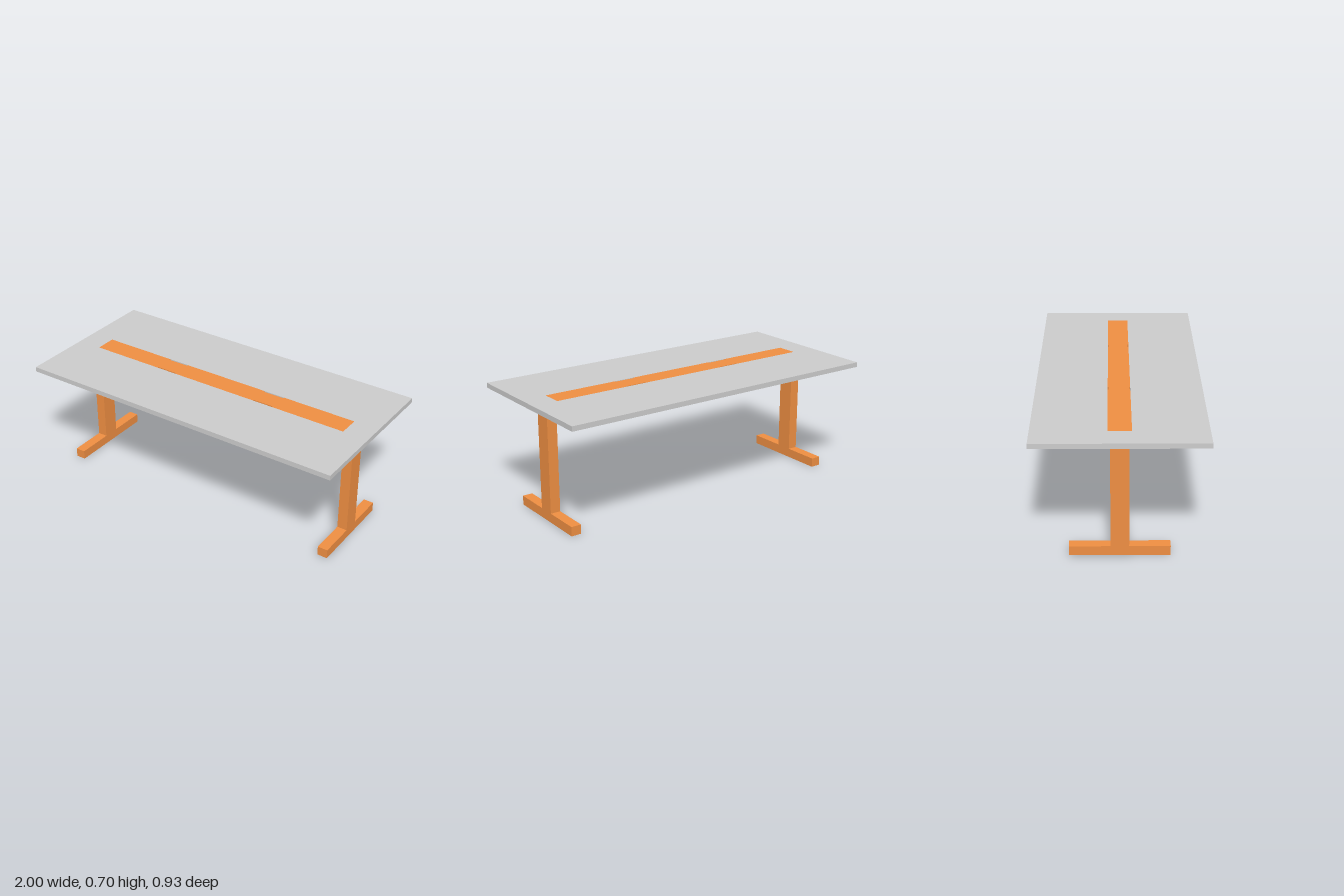
import * as THREE from 'three';

const grey = new THREE.MeshStandardMaterial({ color: 0xcccccc });
const orange = new THREE.MeshStandardMaterial({ color: 0xee8e42 });

const TOP = 0.704, UNDER = 0.675; // tabletop upper and lower heights
const HALF_W = 1, HALF_D = 0.467; // tabletop half sizes
const STRIP_W = 0.85, STRIP_D = 0.063; // centre strip half sizes
const BED = 0.69; // floor height of the slots

const polygon = (pts) => new THREE.Shape(pts.map(([x, y]) => new THREE.Vector2(x, y)));
const rect = (w, d) => polygon([[-w, -d], [w, -d], [w, d], [-w, d]]);

function add(parent, name, geometry, material) {
  const mesh = new THREE.Mesh(geometry, material);
  mesh.name = name;
  parent.add(mesh);
  return mesh;
}

// Horizontal slab from a plan outline, between two heights
function slab(shape, y0, y1) {
  return new THREE.ExtrudeGeometry(shape, { depth: y1 - y0, bevelEnabled: false })
    .rotateX(-Math.PI / 2)
    .translate(0, y0, 0);
}

export function createModel() {
  const table = new THREE.Group();
  table.name = 'table';

  // Tabletop with an opening for the strip
  const outline = rect(HALF_W, HALF_D);
  outline.holes.push(rect(STRIP_W, STRIP_D));
  add(table, 'tabletop', slab(outline, UNDER, TOP), grey);

  // Coloured underside
  const underside = new THREE.PlaneGeometry(2 * HALF_W, 2 * HALF_D).rotateX(Math.PI / 2);
  add(table, 'underside', underside, orange).position.y = UNDER - 0.001;

  // Flush strip, notched along both edges to leave four narrow slots
  const a = 0.27, b = 0.4, n = STRIP_D - 0.008;
  const edge = [
    [-STRIP_W, -STRIP_D], [-b, -STRIP_D], [-b, -n], [-a, -n], [-a, -STRIP_D],
    [a, -STRIP_D], [a, -n], [b, -n], [b, -STRIP_D], [STRIP_W, -STRIP_D],
  ];
  const notched = polygon([...edge, ...edge.map(([x, z]) => [-x, -z])]);
  add(table, 'centreStrip', slab(notched, BED, TOP), orange);
  add(table, 'slotFloor', slab(rect(STRIP_W, STRIP_D), UNDER, BED), orange);

  // Inverted-T legs
  const foot = 0.271, post = 0.05, footH = 0.055, thick = 0.06;
  const profile = polygon([
    [-foot, 0], [foot, 0], [foot, footH], [post, footH],
    [post, UNDER], [-post, UNDER], [-post, footH], [-foot, footH],
  ]);
  const legGeometry = new THREE.ExtrudeGeometry(profile, { depth: thick, bevelEnabled: false })
    .translate(0, 0, -thick / 2)
    .rotateY(Math.PI / 2);
  for (const [name, side] of [['leftLeg', 1], ['rightLeg', -1]]) {
    add(table, name, legGeometry, orange).position.x = side * 0.88;
  }

  return table;
}
